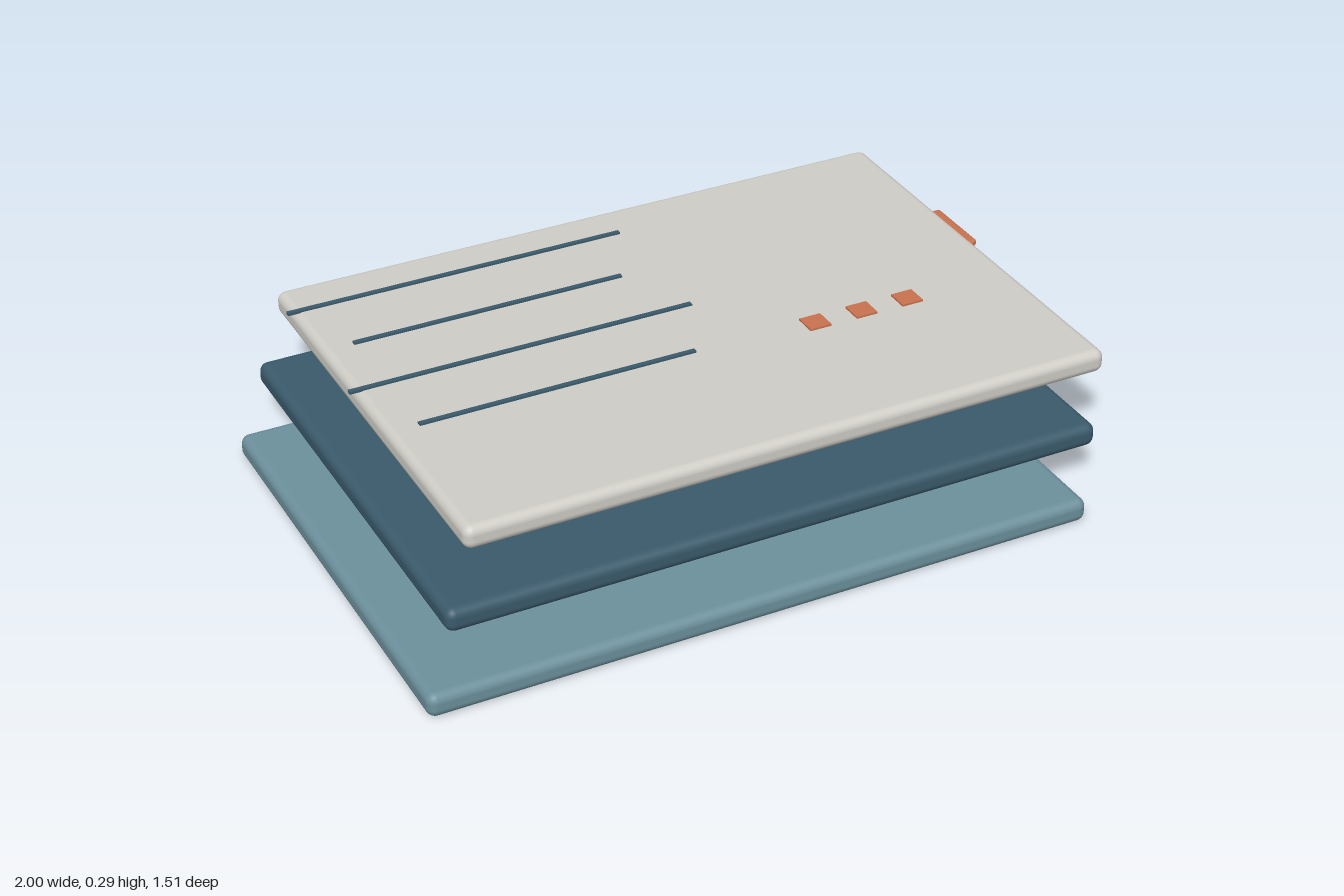
import * as THREE from 'three';
import { RoundedBoxGeometry } from 'three/addons/geometries/RoundedBoxGeometry.js';

const mat = (name, color) => new THREE.MeshStandardMaterial({ name, color });

export function createModel() {
  const model = new THREE.Group();
  model.name = 'layeredPanels';

  const teal = mat('teal', 0x6c909c);
  const navy = mat('navy', 0x3a5a6b);
  const stone = mat('stone', 0xcfcdc6);
  const copper = mat('copper', 0xc8714f);

  const add = (name, geometry, material, x, y, z) => {
    const mesh = new THREE.Mesh(geometry, material);
    mesh.name = name;
    mesh.position.set(x, y, z);
    model.add(mesh);
  };

  // Three identical rounded slabs, each stepped up, back and to the left
  const slab = new RoundedBoxGeometry(1.765, 0.064, 1.235, 4, 0.024);
  add('lowerPanel', slab, teal, -0.1175, 0.032, 0.14);
  add('middlePanel', slab, navy, -0.0075, 0.141, 0);
  add('upperPanel', slab, stone, 0.1025, 0.25, -0.14);

  // Thin lines on the upper panel, alternately long and short
  for (let i = 0; i < 4; i++) {
    const width = i % 2 ? 0.755 : 0.95;
    add('line' + (i + 1), new THREE.BoxGeometry(width, 0.007, 0.014), navy,
      -0.32, 0.2835, -0.627 + i * 0.2125);
  }

  // Row of square marks near the front edge
  const square = new THREE.BoxGeometry(0.061, 0.007, 0.061);
  for (let i = 0; i < 3; i++) {
    add('mark' + (i + 1), square, copper, 0.396 + i * 0.136, 0.2835, 0.026);
  }

  // Rounded tab on the side edge
  add('sideTab', new RoundedBoxGeometry(0.034, 0.021, 0.196, 4, 0.009), copper, 0.983, 0.268, -0.262);

  return model;
}
